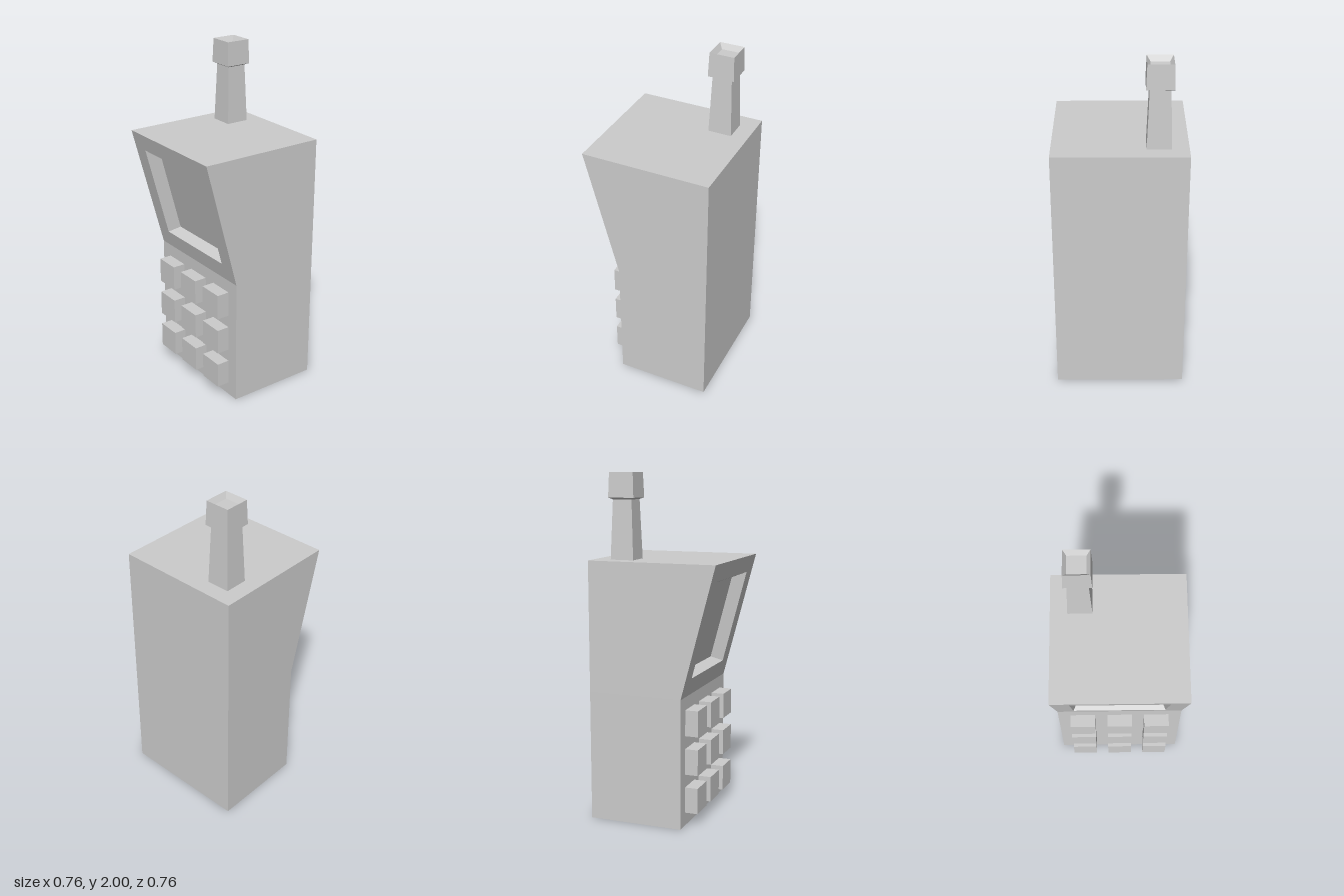
import * as THREE from 'three';

const grey = new THREE.MeshStandardMaterial({ color: 0xcccccc });
grey.name = 'plainGrey';

// Joins four-cornered cross-sections with flat quads.
// caps: close the start and end; skip(ring, side): leave a side open.
function loft(rings, { start = false, end = false, skip = () => false } = {}) {
  const positions = [];
  const quad = (a, b, c, d) => positions.push(...a, ...b, ...c, ...a, ...c, ...d);
  for (let r = 0; r < rings.length - 1; r++) {
    for (let i = 0; i < 4; i++) {
      if (skip(r, i)) continue;
      const j = (i + 1) % 4;
      quad(rings[r][i], rings[r][j], rings[r + 1][j], rings[r + 1][i]);
    }
  }
  if (start) quad(...[...rings[0]].reverse());
  if (end) quad(...rings[rings.length - 1]);
  const geometry = new THREE.BufferGeometry();
  geometry.setAttribute('position', new THREE.Float32BufferAttribute(positions, 3));
  geometry.computeVertexNormals();
  return geometry;
}

// Horizontal rectangle at height y, front edge first
const level = (y, x0, x1, back, front) =>
  [[x0, y, front], [x1, y, front], [x1, y, back], [x0, y, back]];

const HALF = 0.378, TOP = 1.513, BEND = 0.757, FRONT = 0.178;
const slopeZ = (y) => FRONT + (HALF - FRONT) * (y - BEND) / (TOP - BEND);

// Rectangle lying in the sloped face, optionally pushed inwards
const onSlope = (half, y0, y1, depth = 0) => {
  const z0 = slopeZ(y0) - depth, z1 = slopeZ(y1) - depth;
  return [[-half, y0, z0], [half, y0, z0], [half, y1, z1], [-half, y1, z1]];
};

export function createModel() {
  const group = new THREE.Group();
  group.name = 'handset';
  const add = (name, geometry, parent = group) => {
    const mesh = new THREE.Mesh(geometry, grey);
    mesh.name = name;
    parent.add(mesh);
    return mesh;
  };

  // Housing, open where the sloped screen face goes
  add('housing', loft([
    level(0, -HALF, HALF, -HALF, FRONT),
    level(BEND, -HALF, HALF, -HALF, FRONT),
    level(TOP, -HALF, HALF, -HALF, HALF),
  ], { start: true, end: true, skip: (r, i) => r === 1 && i === 0 }));

  // Sloped face with its bevelled screen recess
  add('screenFrame', loft([onSlope(HALF, BEND, TOP), onSlope(0.275, 0.862, 1.412)]));
  add('screenRecess', loft([
    onSlope(0.275, 0.862, 1.412),
    onSlope(0.246, 0.888, 1.38, 0.075),
  ], { end: true }));

  // Three by three keypad
  const keypad = new THREE.Group();
  keypad.name = 'keypad';
  group.add(keypad);
  const keyGeometry = new THREE.BoxGeometry(0.151, 0.151, 0.076);
  for (let row = 0; row < 3; row++) {
    for (let col = 0; col < 3; col++) {
      add('key', keyGeometry, keypad)
        .position.set((col - 1) * 0.227, 0.153 + row * 0.227, FRONT + 0.038);
    }
  }

  // Tapered square antenna with a hollowed tip
  const antenna = new THREE.Group();
  antenna.name = 'antenna';
  antenna.position.set(-0.213, 0, -0.213);
  group.add(antenna);
  const square = (y, h) => level(y, -h, h, -h, h);
  add('antennaShaft', loft([square(TOP, 0.069), square(1.85, 0.057)]), antenna);
  add('antennaTip', loft([
    square(1.85, 0.057),
    square(1.86, 0.077),
    square(2, 0.072),
    square(1.97, 0.052),
  ], { end: true }), antenna);

  return group;
}
